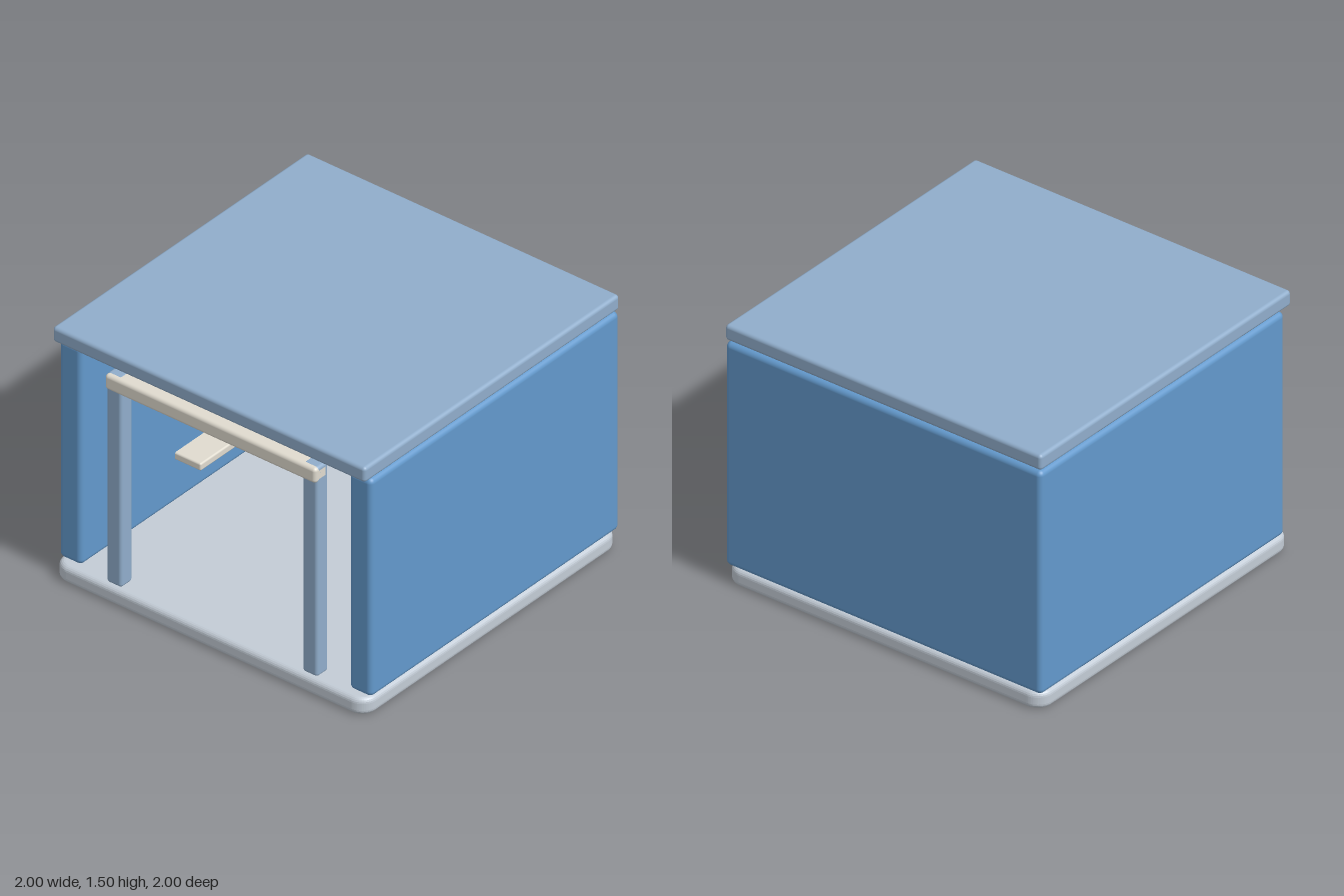
import * as THREE from 'three';
import { RoundedBoxGeometry } from 'three/addons/geometries/RoundedBoxGeometry.js';

const material = (color) => new THREE.MeshStandardMaterial({ color });
const wallBlue = material(0x6399cc);
const paleBlue = material(0x90adcb);
const floorGrey = material(0xc3ccd6);
const cream = material(0xe0dbcf);

// Rounded box given by its extents on each axis
function block(name, [x0, x1], [y0, y1], [z0, z1], radius, mat) {
  const geometry = new RoundedBoxGeometry(x1 - x0, y1 - y0, z1 - z0, 4, radius);
  const mesh = new THREE.Mesh(geometry, mat);
  mesh.position.set((x0 + x1) / 2, (y0 + y1) / 2, (z0 + z1) / 2);
  mesh.name = name;
  return mesh;
}

// Flat slab with large plan corners and softly rolled edges
function floorSlab(half, height, corner, bevel) {
  const h = half - bevel;
  const r = corner - bevel;
  const shape = new THREE.Shape();
  shape.absarc(h - r, h - r, r, 0, Math.PI / 2);
  shape.absarc(r - h, h - r, r, Math.PI / 2, Math.PI);
  shape.absarc(r - h, r - h, r, Math.PI, Math.PI * 1.5);
  shape.absarc(h - r, r - h, r, Math.PI * 1.5, Math.PI * 2);
  shape.closePath();
  const geometry = new THREE.ExtrudeGeometry(shape, {
    depth: height - 2 * bevel, bevelEnabled: true,
    bevelSize: bevel, bevelThickness: bevel, bevelSegments: 5, curveSegments: 8,
  });
  geometry.rotateX(-Math.PI / 2);
  geometry.translate(0, bevel, 0);
  const mesh = new THREE.Mesh(geometry, floorGrey);
  mesh.name = 'floor';
  return mesh;
}

export function createModel() {
  const model = new THREE.Group();
  model.name = 'openShed';

  // Floor, back wall and roof
  model.add(floorSlab(1, 0.1, 0.09, 0.03));
  model.add(block('backWall', [-1, 1], [0.1, 1.4], [-1, -0.86], 0.03, wallBlue));
  model.add(block('roof', [-1, 1], [1.41, 1.5], [-1, 1], 0.02, paleBlue));

  // Door lintel
  model.add(block('doorLintel', [-0.675, 0.675], [1.26, 1.35], [0.89, 0.99], 0.02, cream));

  // Mirrored side walls, door posts and shelves
  for (const [side, label] of [[1, 'left'], [-1, 'right']]) {
    const span = (a, b) => (side > 0 ? [a, b] : [-b, -a]);
    model.add(block(`${label}Wall`, span(0.855, 1), [0.1, 1.4], [-1, 0.95], 0.03, wallBlue));
    model.add(block(`${label}DoorPost`, span(0.578, 0.675), [0.1, 1.351], [0.885, 0.975], 0.018, paleBlue));
    [0.378, 0.756, 1.154].forEach((y, i) => {
      model.add(block(`${label}Shelf${i + 1}`, span(0.69, 0.87), [y - 0.022, y + 0.022],
        [-0.87, 0.215], 0.01, cream));
    });
  }

  return model;
}
